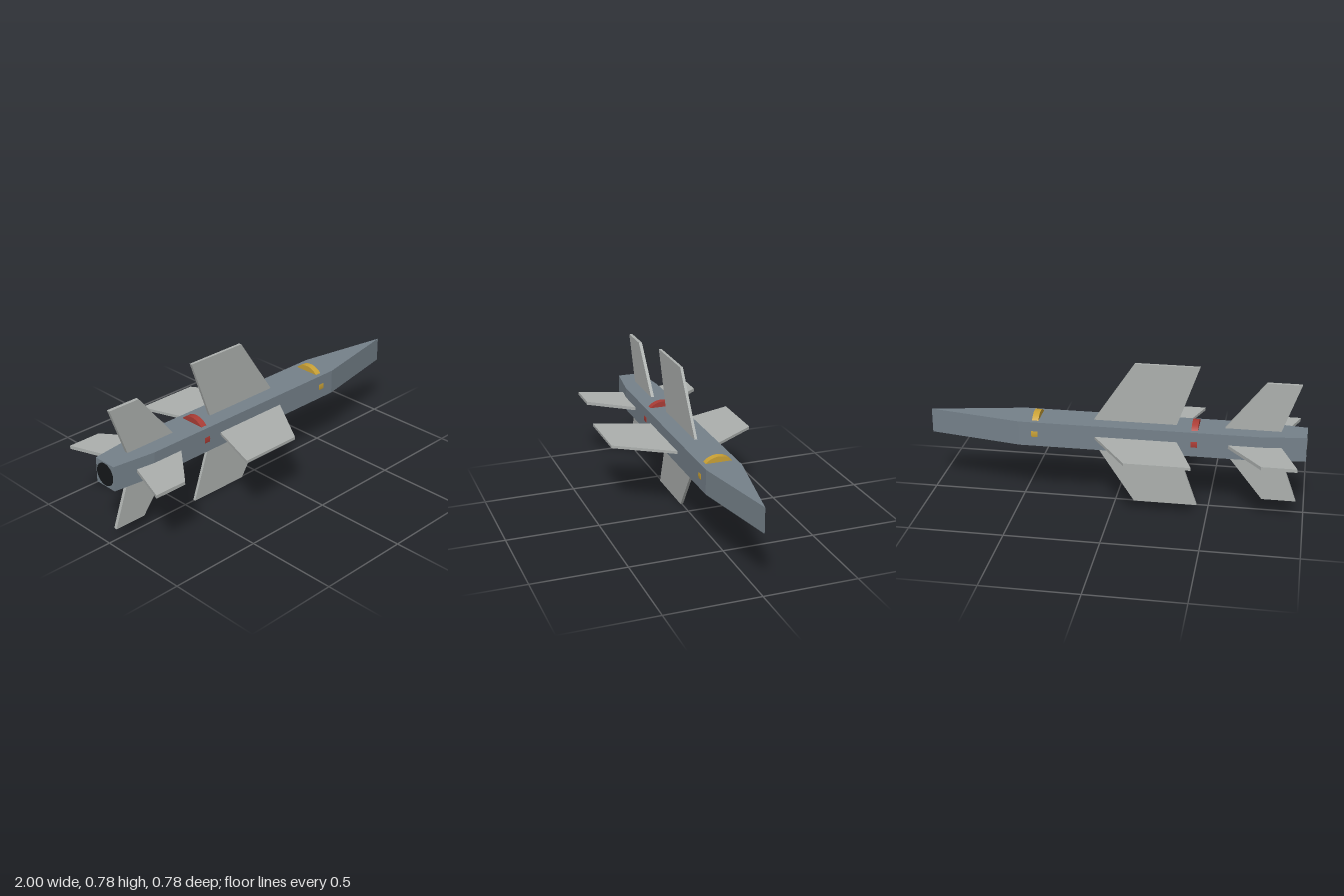
import * as THREE from 'three';

const AXIS_Y = 0.393; // height of the long axis

const paint = (color) => new THREE.MeshStandardMaterial({ color, flatShading: true });

function addMesh(parent, name, geometry, material) {
  const mesh = new THREE.Mesh(geometry, material);
  mesh.name = name;
  parent.add(mesh);
  return mesh;
}

// Flat plate from an outline, centred on its thickness
function plate(points, thickness) {
  const shape = new THREE.Shape(points.map(([x, y]) => new THREE.Vector2(x, y)));
  const geometry = new THREE.ExtrudeGeometry(shape, { depth: thickness, bevelEnabled: false });
  return geometry.translate(0, 0, -thickness / 2);
}

// Disc lying across the long axis
function disc(radius, length, x) {
  return new THREE.CylinderGeometry(radius, radius, length, 48).rotateZ(Math.PI / 2).translate(x, 0, 0);
}

export function createModel() {
  const model = new THREE.Group();
  model.name = 'missile';
  const axis = new THREE.Group();
  axis.name = 'airframe';
  axis.position.y = AXIS_Y;
  model.add(axis);

  // Slab-sided body with wedge nose and tapered tail
  const outline = [[-0.998, -0.066], [-0.77, -0.0955], [0.5, -0.0955], [1, 0], [0.5, 0.0955], [-0.77, 0.0955], [-0.998, 0.066]];
  addMesh(axis, 'body', plate(outline, 0.133).rotateX(-Math.PI / 2), paint(0x75818a));

  // Exhaust at the tail
  addMesh(axis, 'nozzle', disc(0.06, 0.02, -0.99), paint(0x15181a));

  // Coloured bands showing through the body faces
  const smooth = (color) => new THREE.MeshStandardMaterial({ color });
  addMesh(axis, 'frontBand', disc(0.097, 0.034, 0.417), smooth(0xc9a136));
  addMesh(axis, 'rearBand', disc(0.097, 0.034, -0.423), smooth(0xaa3c35));

  // Two cruciform sets of swept fins, each point is (x, radius)
  const finMaterial = paint(0xacb0ae);
  const wing = plate([[-0.318, 0.05], [0.126, 0.05], [-0.1, 0.392], [-0.438, 0.392]], 0.015);
  const tail = plate([[-0.859, 0.05], [-0.562, 0.05], [-0.78, 0.327], [-0.958, 0.327]], 0.018);
  for (let i = 0; i < 4; i++) {
    addMesh(axis, 'wing' + (i + 1), wing, finMaterial).rotation.x = i * Math.PI / 2;
    addMesh(axis, 'tailFin' + (i + 1), tail, finMaterial).rotation.x = i * Math.PI / 2;
  }
  return model;
}
